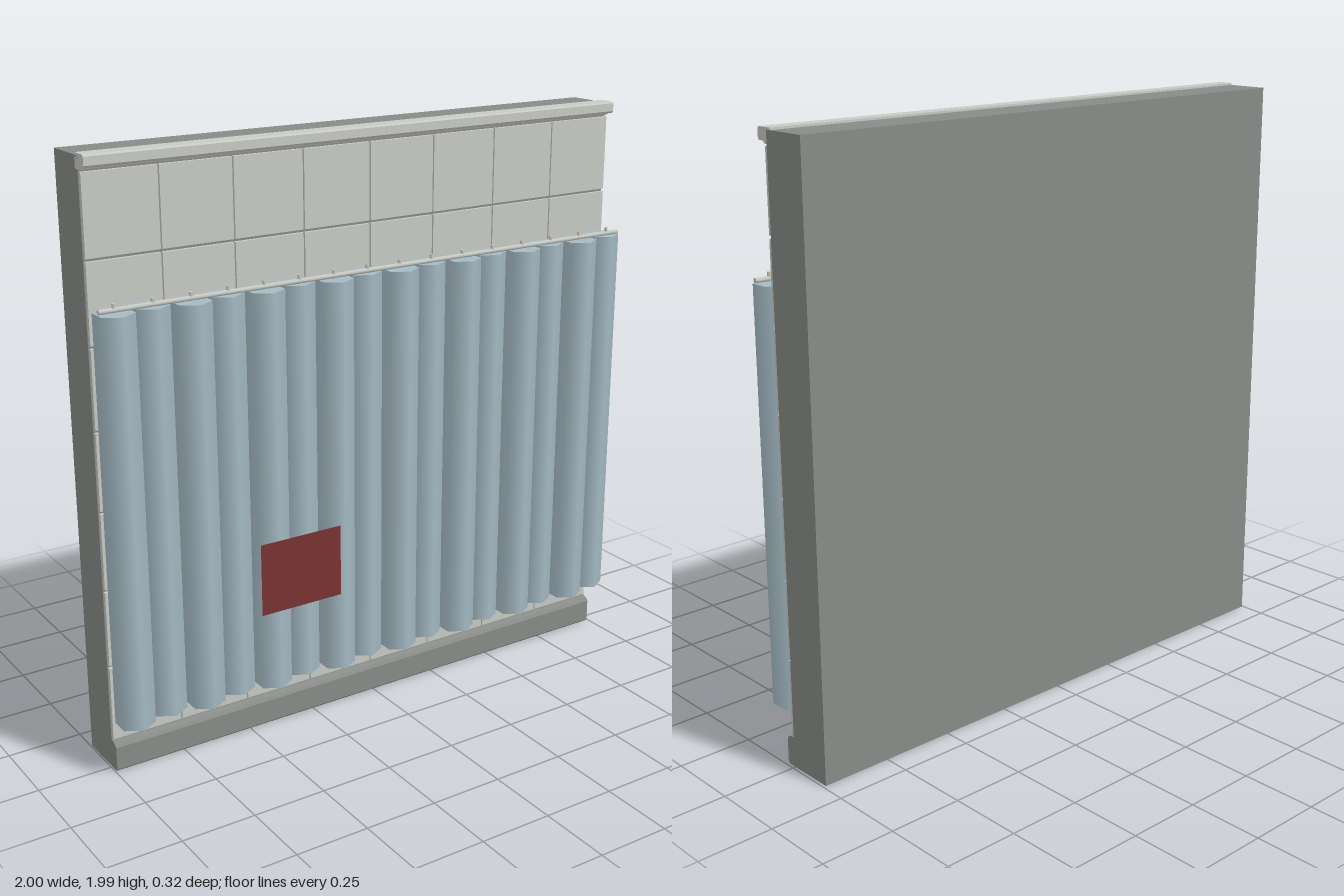
import * as THREE from 'three';

const material = (name, color) => {
  const m = new THREE.MeshStandardMaterial({ color });
  m.name = name;
  return m;
};

export function createModel() {
  const root = new THREE.Group();
  root.name = 'curtainedTileWall';

  const darkGrey = material('dark grey', 0x888b88);
  const paleGrey = material('pale grey', 0xc8cac5);
  const blue = material('curtain blue', 0xa5bac4);
  const red = material('sign red', 0x783232);
  red.side = THREE.DoubleSide;

  const add = (name, geometry, mat, x, y, z, parent = root) => {
    const mesh = new THREE.Mesh(geometry, mat);
    mesh.name = name;
    mesh.position.set(x, y, z);
    parent.add(mesh);
    return mesh;
  };
  const group = (name) => {
    const g = new THREE.Group();
    g.name = name;
    root.add(g);
    return g;
  };

  const left = -0.995, right = 0.99, width = right - left, midX = (left + right) / 2;

  // Wall slab; its front also shows as the grout between tiles
  add('wall', new THREE.BoxGeometry(width, 1.985, 0.163), darkGrey, midX, 0.9925, -0.0785);

  // Tile grid
  const tiles = group('tiles');
  const cols = 8, rows = 7, bottom = 0.102, top = 1.943;
  const w = width / cols, h = (top - bottom) / rows;
  const tile = new THREE.BoxGeometry(w - 0.005, h - 0.01, 0.016);
  for (let r = 0; r < rows; r++) {
    for (let c = 0; c < cols; c++) {
      add('tile', tile, paleGrey, left + w * (c + 0.5), bottom + h * (r + 0.5), 0.007, tiles);
    }
  }

  // Mouldings: (z, y) profiles swept along x
  const moulding = (name, profile, mat) => {
    const shape = new THREE.Shape(profile.map(([z, y]) => new THREE.Vector2(-z, y)));
    const geo = new THREE.ExtrudeGeometry(shape, { depth: width, bevelEnabled: false });
    geo.rotateY(Math.PI / 2);
    add(name, geo, mat, left, 0, 0);
  };
  moulding('topTrim', [
    [-0.015, 1.945], [0.015, 1.945], [0.02, 1.953], [0.04, 1.953],
    [0.045, 1.96], [0.045, 1.987], [0.04, 1.992], [-0.015, 1.992],
  ], paleGrey);
  moulding('baseboard', [
    [-0.01, 0], [0.03, 0], [0.037, 0.007], [0.037, 0.085], [0.03, 0.095], [0.015, 0.102], [-0.01, 0.102],
  ], darkGrey);

  // Curtain: six-sided folds, alternately forward and back, each with a hook
  const curtain = group('curtain');
  const fold = new THREE.CylinderGeometry(0.064, 0.064, 1.345, 6);
  const hook = new THREE.CylinderGeometry(0.006, 0.006, 0.03, 6);
  for (let i = 0; i < 16; i++) {
    const x = -0.945 + i * 0.126;
    add('curtainFold', fold, blue, x, 0.8625, i % 2 ? 0.06 : 0.088, curtain);
    add('curtainHook', hook, paleGrey, x, 1.548, 0.088, curtain);
  }

  // Curtain rod
  const rod = add('curtainRod', new THREE.CylinderGeometry(0.008, 0.008, 1.99, 8), paleGrey, 0, 1.543, 0.088);
  rod.rotation.z = Math.PI / 2;

  // Plain sign in front of the curtain
  add('sign', new THREE.PlaneGeometry(0.3, 0.247), red, -0.365, 0.599, 0.16);

  return root;
}
